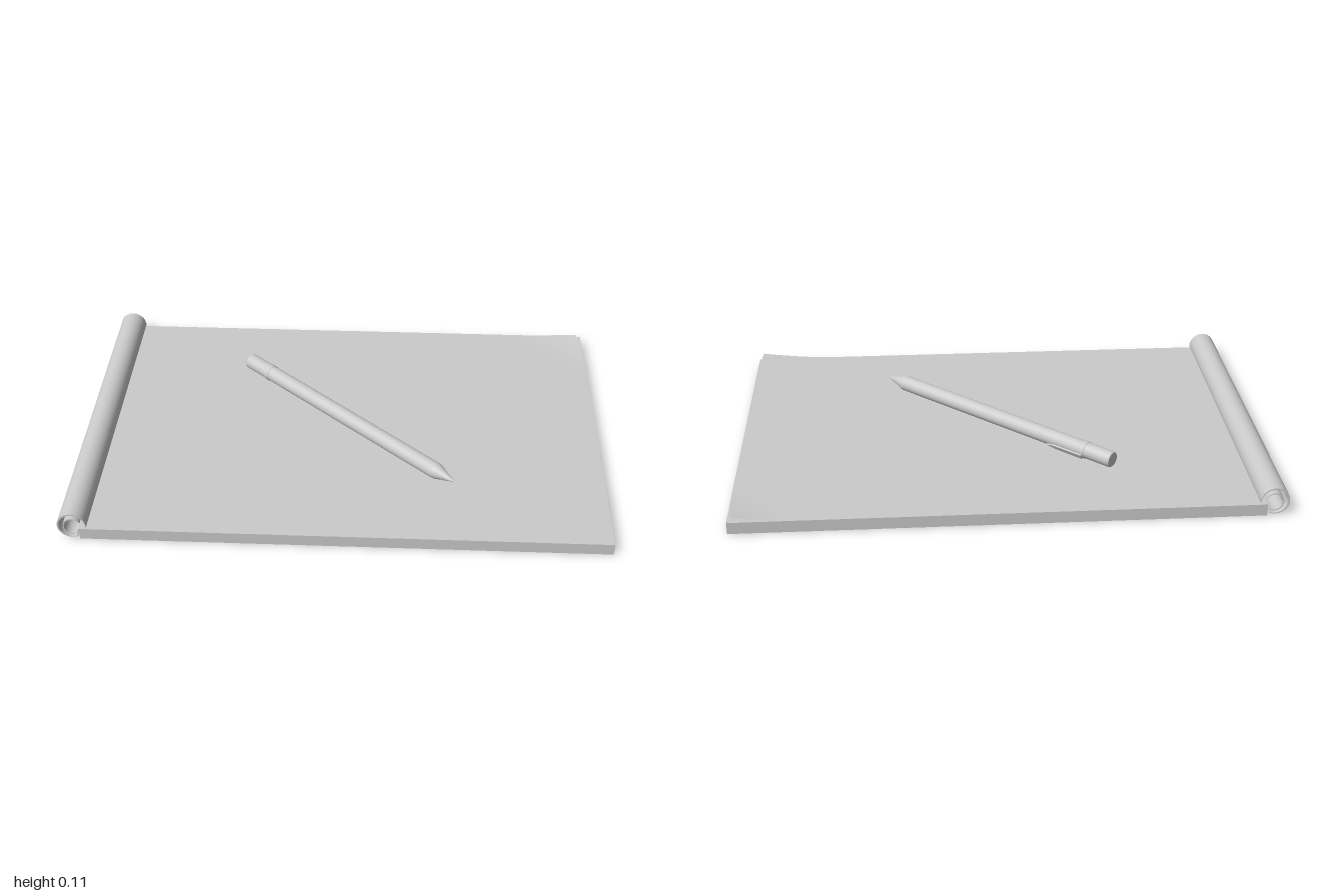
import * as THREE from 'three';

const mat = new THREE.MeshStandardMaterial({ color: 0xcccccc });
const sheetMat = new THREE.MeshStandardMaterial({ color: 0xcccccc, side: THREE.DoubleSide });

const DEPTH = 1.352, LEFT = -0.92, RIGHT = 0.994, TOP = 0.045;

function part(name, geometry, material = mat) {
  const mesh = new THREE.Mesh(geometry, material);
  mesh.name = name;
  return mesh;
}

// Flat sheet whose two right-hand corners lift and pull inward
function topPageGeometry() {
  const width = RIGHT - LEFT;
  const geo = new THREE.PlaneGeometry(width, DEPTH, 80, 60);
  geo.rotateX(-Math.PI / 2);
  geo.translate((LEFT + RIGHT) / 2, TOP + 0.002, 0);
  const p = geo.attributes.position;
  for (let i = 0; i < p.count; i++) {
    const x = p.getX(i), z = p.getZ(i);
    const reach = z > 0 ? 0.3 : 0.24;
    const lift = z > 0 ? 0.028 : 0.013;
    const d = (RIGHT - x) + (DEPTH / 2 - Math.abs(z));
    const u = Math.max(0, 1 - d / reach);
    p.setXYZ(i, x - 0.02 * u * u, p.getY(i) + lift * Math.pow(u, 1.5), z - Math.sign(z) * 0.006 * u * u);
  }
  geo.computeVertexNormals();
  return geo;
}

// Thin rolled sheet: an arc with changing radius, extruded along the depth
function rollGeometry(cx, cy, r0, r1, a0, a1, thickness) {
  const n = 40, outer = [], inner = [];
  for (let i = 0; i <= n; i++) {
    const t = i / n, a = a0 + (a1 - a0) * t, r = r0 + (r1 - r0) * t;
    const w = thickness * (0.35 + 0.65 * Math.sin(Math.PI * t));
    outer.push(new THREE.Vector2(cx + r * Math.cos(a), cy + r * Math.sin(a)));
    inner.push(new THREE.Vector2(cx + (r - w) * Math.cos(a), cy + (r - w) * Math.sin(a)));
  }
  const shape = new THREE.Shape([...outer, ...inner.reverse()]);
  const geo = new THREE.ExtrudeGeometry(shape, { depth: DEPTH, bevelEnabled: false });
  geo.translate(0, 0, -DEPTH / 2);
  return geo;
}

// Turned profile of [radius, position] pairs, running along +z
function turned(points) {
  const geo = new THREE.LatheGeometry(points.map(([r, s]) => new THREE.Vector2(r, s)), 32);
  geo.rotateX(Math.PI / 2);
  return geo;
}

function createPen() {
  const pen = new THREE.Group();
  pen.name = 'pen';
  const R = 0.031;
  pen.add(part('penCap', turned([[0, 0], [0.027, 0], [0.027, 0], [0.03, 0.004], [R, 0.01], [R, 0.115]])));
  pen.add(part('penRing', turned([[0.03, 0.112], [0.033, 0.115], [0.033, 0.115], [0.033, 0.135], [0.033, 0.135], [0.03, 0.138]])));
  pen.add(part('penBarrel', turned([[R, 0.13], [R, 1.035], [0.03, 1.045], [0.027, 1.055]])));
  pen.add(part('penTip', turned([[0.027, 1.055], [0.02, 1.074], [0.012, 1.1], [0.005, 1.122], [0, 1.136]])));

  // Pointed clip low on the side of the barrel
  const outline = new THREE.Shape();
  outline.moveTo(-0.011, 0);
  outline.lineTo(0.011, 0);
  outline.lineTo(0.009, 0.13);
  outline.lineTo(0, 0.165);
  outline.lineTo(-0.009, 0.13);
  const clipGeo = new THREE.ExtrudeGeometry(outline, { depth: 0.006, bevelEnabled: false });
  clipGeo.rotateX(Math.PI / 2);
  clipGeo.translate(0, 0.038, 0.12);
  const clip = part('penClip', clipGeo);
  clip.rotation.z = -Math.PI * 0.66;
  pen.add(clip);

  pen.position.set(-0.405, 0.081, -0.375);
  pen.rotation.y = Math.atan2(0.84, 0.765);
  return pen;
}

export function createModel() {
  const model = new THREE.Group();
  model.name = 'notepadWithPen';

  const pad = new THREE.Group();
  pad.name = 'notepad';
  pad.rotation.y = 0.006;

  // Stack of paper
  const stack = part('paperStack', new THREE.BoxGeometry(RIGHT - LEFT, TOP, DEPTH));
  stack.position.set((LEFT + RIGHT) / 2, TOP / 2, 0);
  pad.add(stack);
  pad.add(part('topPage', topPageGeometry(), sheetMat));

  // Pages rolled back over the left edge
  pad.add(part('outerRoll', rollGeometry(-0.946, 0.058, 0.053, 0.051, -0.1, Math.PI * 1.62, 0.006), sheetMat));
  pad.add(part('innerRoll', rollGeometry(-0.943, 0.056, 0.033, 0.036, 0.5, Math.PI * 1.65, 0.005), sheetMat));
  model.add(pad);

  model.add(createPen());
  return model;
}
